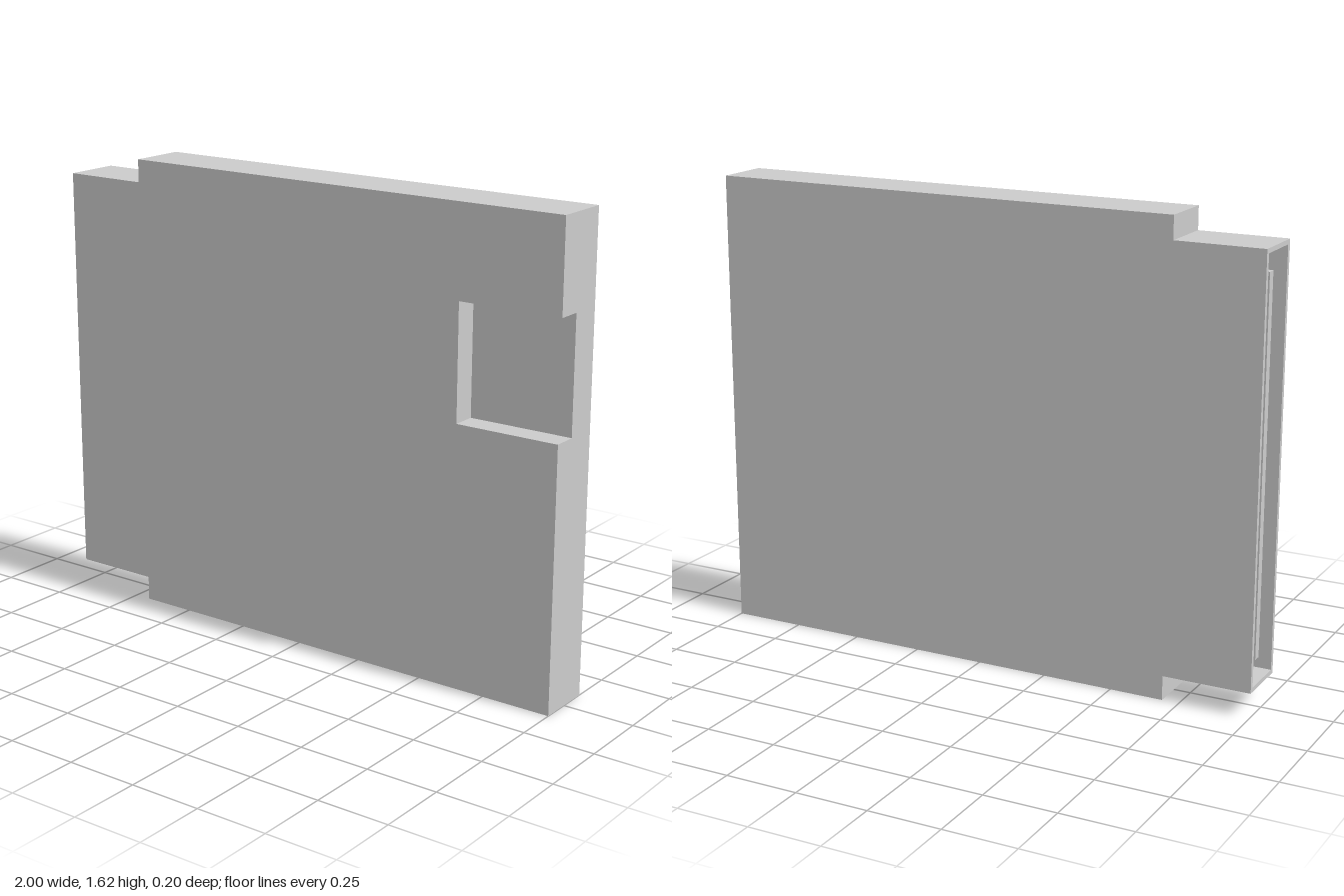
import * as THREE from 'three';

const material = new THREE.MeshStandardMaterial({ color: 0xcccccc, flatShading: true });
const HALF = 0.1, TOP = 1.625, STEP = -0.69; // half thickness, height, start of the body
const POCKET = { x: 0.63, y0: 0.91, y1: 1.31, z: 0.015 };
const LIP = { y0: 0.085, y1: 1.545, wall: 0.016 };

function shapeOf(points) {
  return new THREE.Shape(points.map(([x, y]) => new THREE.Vector2(x, y)));
}

function rectangle(x0, y0, x1, y1) {
  return shapeOf([[x0, y0], [x1, y0], [x1, y1], [x0, y1]]);
}

function addMesh(group, name, geometry) {
  const mesh = new THREE.Mesh(geometry, material);
  mesh.name = name;
  group.add(mesh);
  return mesh;
}

// Straight extrusion between two depths
function slab(shape, z0, z1) {
  return new THREE.ExtrudeGeometry(shape, { depth: z1 - z0, bevelEnabled: false }).translate(0, 0, z0);
}

export function createModel() {
  const group = new THREE.Group();
  group.name = 'cartridge';

  // Solid rear half of the case
  addMesh(group, 'rearCase', slab(rectangle(STEP, 0, 1, TOP), -HALF, POCKET.z));

  // Front half, cut away at the side for the grip pocket
  const front = shapeOf([
    [STEP, 0], [1, 0], [1, POCKET.y0], [POCKET.x, POCKET.y0],
    [POCKET.x, POCKET.y1], [1, POCKET.y1], [1, TOP], [STEP, TOP],
  ]);
  addMesh(group, 'frontCase', slab(front, POCKET.z, HALF));

  // Hollow, narrower sleeve around the connector
  const ring = rectangle(-HALF, LIP.y0, HALF, LIP.y1);
  const w = LIP.wall;
  ring.holes.push(rectangle(-HALF + w, LIP.y0 + w, HALF - w, LIP.y1 - w));
  addMesh(group, 'connectorSleeve', slab(ring, -1, STEP).rotateY(Math.PI / 2));

  // Thin board inside the sleeve
  const board = addMesh(group, 'connectorBoard', new THREE.BoxGeometry(0.29, 1.29, 0.03));
  board.position.set(STEP - 0.145, TOP / 2, 0);

  return group;
}
